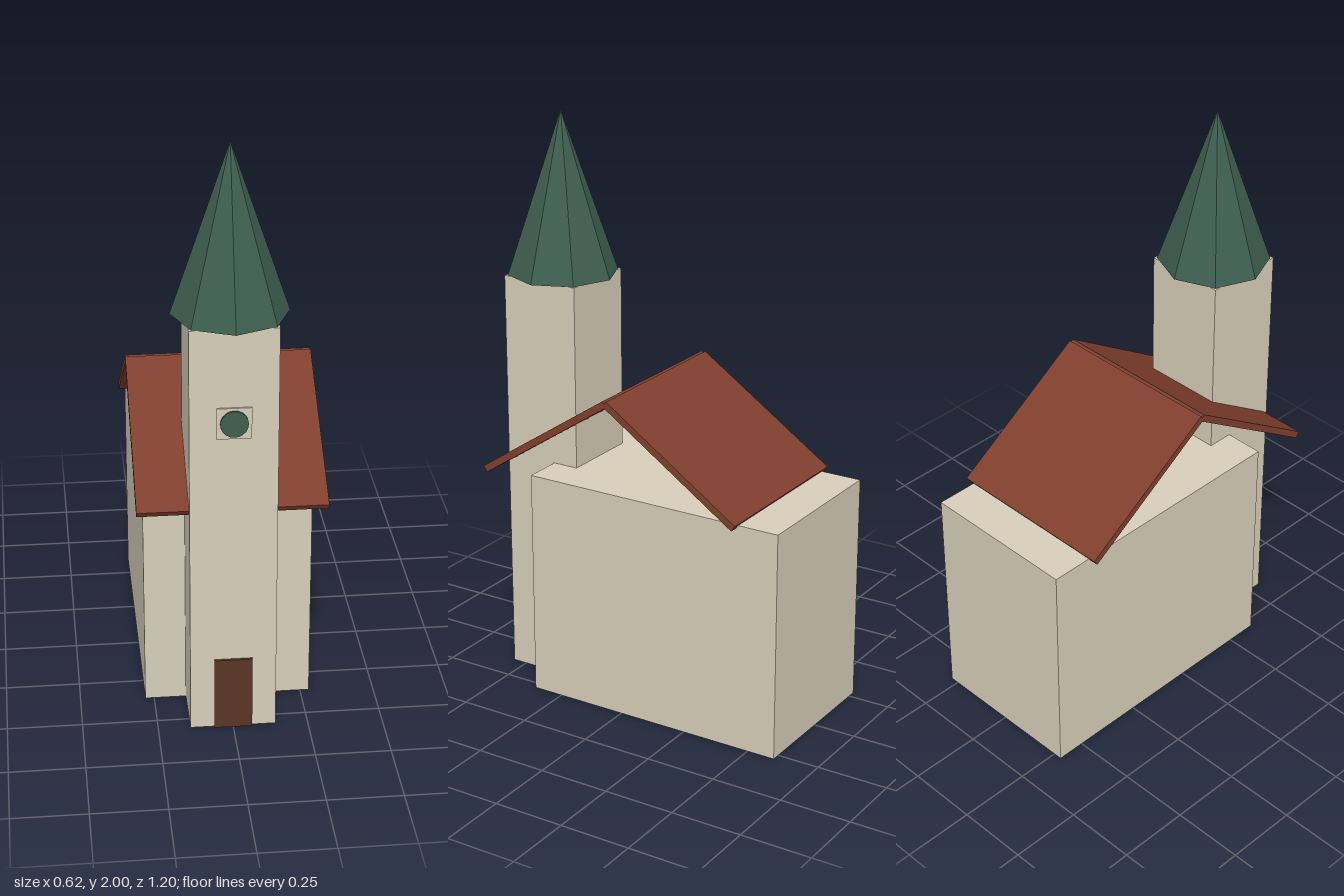
import * as THREE from 'three';

export function createModel() {
  const model = new THREE.Group();
  model.name = 'church';

  const mat = (name, color) => {
    const m = new THREE.MeshStandardMaterial({ color });
    m.name = name;
    return m;
  };
  const stone = mat('stone', 0xd8cfba);
  const tile = mat('roof tile', 0x803f2e);
  const copper = mat('green copper', 0x3e5f50);
  const wood = mat('dark wood', 0x5a3526);

  const add = (name, geometry, material, x, y, z) => {
    const mesh = new THREE.Mesh(geometry, material);
    mesh.name = name;
    mesh.position.set(x, y, z);
    model.add(mesh);
    return mesh;
  };
  const box = (name, material, w, h, d, x, y, z) =>
    add(name, new THREE.BoxGeometry(w, h, d), material, x, y, z);

  // Main hall and bell tower
  const towerZ = 0.41;
  box('nave', stone, 0.56, 0.8, 0.96, 0, 0.4, -0.12);
  box('tower', stone, 0.284, 1.44, 0.284, 0, 0.72, towerZ);

  // Eight-sided spire, rebuilt without shared normals for crisp facets
  const cone = new THREE.ConeGeometry(0.19, 0.56, 8).toNonIndexed();
  cone.computeVertexNormals();
  add('spire', cone, copper, 0, 1.72, towerZ);

  // Two thin roof slabs meeting at the ridge, with open gables
  const pitch = 0.588;
  const ridgeZ = 0.0385;
  for (const side of [1, -1]) {
    const slab = box(side > 0 ? 'frontRoofSlab' : 'backRoofSlab', tile,
      0.62, 0.024, 0.59, 0, 0.962, ridgeZ + side * 0.2455);
    slab.rotation.x = side * pitch;
  }

  // Door and clock on the tower front
  const face = towerZ + 0.142;
  box('door', wood, 0.126, 0.26, 0.009, 0, 0.13, face + 0.0045);
  box('clockPlate', stone, 0.112, 0.106, 0.006, 0, 1.122, face + 0.003);
  const dial = add('clockDial', new THREE.CylinderGeometry(0.045, 0.045, 0.008, 20),
    copper, 0, 1.122, face + 0.009);
  dial.rotation.x = Math.PI / 2;

  return model;
}
